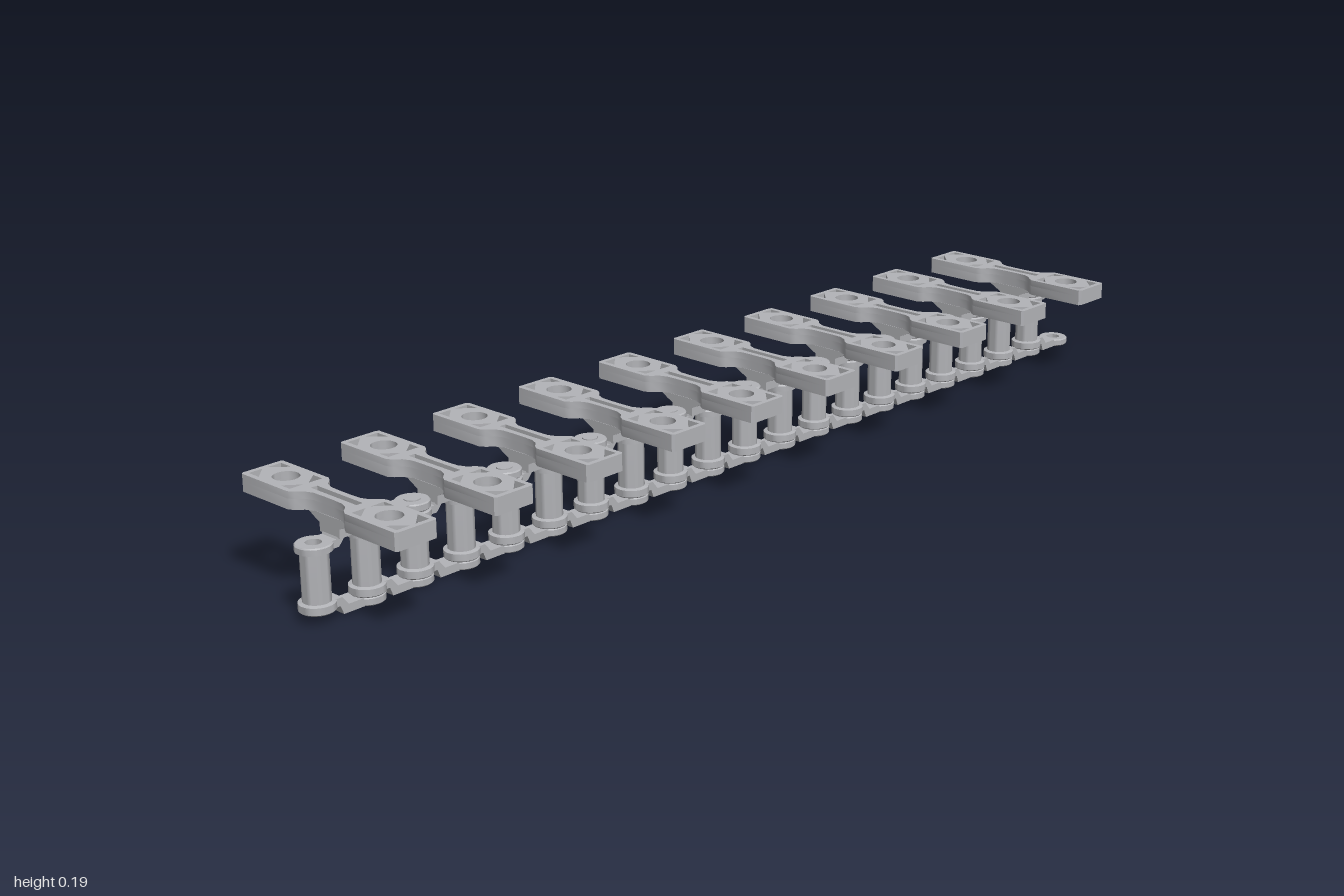
import * as THREE from 'three';
import { toCreasedNormals } from 'three/addons/utils/BufferGeometryUtils.js';

const PITCH = 0.097, LINKS = 20;
const steel = new THREE.MeshStandardMaterial({ color: 0xb3b4b8 });
steel.name = 'steel grey';

const crease = (g) => toCreasedNormals(g, 0.6);

// polygon from [x, y] pairs
function poly(points, Type = THREE.Shape) {
  return new Type(points.map(([x, y]) => new THREE.Vector2(x, y)));
}
function circle(x, y, r, Type = THREE.Path) {
  const p = new Type();
  p.absarc(x, y, r, 0, Math.PI * 2, false);
  return p;
}
// horizontal plate: plan shape lifted from y0 to y1
function plate(shape, y0, y1) {
  const g = new THREE.ExtrudeGeometry(shape, { depth: y1 - y0, bevelEnabled: false, curveSegments: 12 });
  return crease(g.rotateX(-Math.PI / 2).translate(0, y0, 0));
}
// closed ring profile turned around y
function ring(profile) {
  const pts = [...profile, profile[0]].map(([r, y]) => new THREE.Vector2(r, y));
  return crease(new THREE.LatheGeometry(pts, 24));
}

// barrel with the two inner eyes as collars
const barrelGeo = ring([[0.013, 0.017], [0.028, 0.017], [0.03, 0.019], [0.03, 0.031], [0.023, 0.033],
  [0.023, 0.114], [0.03, 0.116], [0.03, 0.126], [0.028, 0.128], [0.013, 0.128]]);
const eyeGeo = (y0, y1) => ring([[0.013, y0], [0.027, y0], [0.029, y0 + 0.002], [0.029, y1 - 0.002],
  [0.027, y1], [0.013, y1]]);
const lowerEyeGeo = eyeGeo(0.003, 0.017), upperEyeGeo = eyeGeo(0.129, 0.143);
const pinGeo = new THREE.CylinderGeometry(0.0135, 0.0135, 0.145, 20).translate(0, 0.0725, 0);

// cranked side bar: steps from the inner eye level out to the outer eye level
function sideBar(inner0, inner1, outer0, outer1) {
  const s = poly([[0.018, inner0], [0.034, inner0], [0.046, outer0], [0.08, outer0],
    [0.08, outer1], [0.036, outer1], [0.03, inner1], [0.018, inner1]]);
  return new THREE.ExtrudeGeometry(s, { depth: 0.036, bevelEnabled: false }).translate(0, 0, -0.018);
}
const upperBarGeo = sideBar(0.115, 0.128, 0.129, 0.143);
// mirrored for the underside
const lowerBarGeo = (() => {
  const s = poly([[0.018, 0.018], [0.03, 0.018], [0.036, 0.003], [0.08, 0.003],
    [0.08, 0.017], [0.046, 0.017], [0.034, 0.032], [0.018, 0.032]]);
  return new THREE.ExtrudeGeometry(s, { depth: 0.036, bevelEnabled: false }).translate(0, 0, -0.018);
})();

// waisted carrier outline, one quarter mirrored into four
function carrierShape() {
  const q = [[0.016, 0.012], [0.017, 0.035], [0.023, 0.05], [0.034, 0.06], [0.04, 0.07], [0.04, 0.184], [0.036, 0.188]];
  const rev = [...q].reverse();
  const s = poly([
    ...q,
    ...rev.map(([x, z]) => [-x, z]),
    ...q.map(([x, z]) => [-x, -z]),
    ...rev.map(([x, z]) => [x, -z]),
  ]);
  for (const side of [1, -1]) s.holes.push(circle(0, side * 0.125, 0.022));
  return s;
}
const carrierBaseGeo = plate(carrierShape(), 0.16, 0.178);

// top layer with corner pockets and a groove along the waist
const carrierTopGeo = (() => {
  const s = carrierShape();
  const corner = [[0.005, 0.179], [0.031, 0.179], [0.031, 0.153]];
  const inner = [[0.005, 0.075], [0.031, 0.075], [0.031, 0.097]];
  for (const sx of [1, -1]) for (const sz of [1, -1]) for (const tri of [corner, inner])
    s.holes.push(poly(tri.map(([x, z]) => [sx * x, sz * z]), THREE.Path));
  s.holes.push(poly([[-0.006, -0.055], [0.006, -0.055], [0.006, 0.055], [-0.006, 0.055]], THREE.Path));
  return plate(s, 0.178, 0.19);
})();

// pedestal flaring up under the carrier
const pedestalGeo = (() => {
  const s = poly([[-0.024, 0.13], [0.024, 0.13], [0.024, 0.145], [0.034, 0.15], [0.054, 0.161],
    [-0.054, 0.161], [-0.034, 0.15], [-0.024, 0.145]]);
  return new THREE.ExtrudeGeometry(s, { depth: 0.034, bevelEnabled: false })
    .translate(0, 0, -0.017).rotateY(Math.PI / 2);
})();

export function createModel() {
  const model = new THREE.Group();
  model.name = 'conveyorChain';
  const add = (parent, name, geo, x = 0) => {
    const m = new THREE.Mesh(geo, steel);
    m.name = name;
    m.position.x = x;
    parent.add(m);
  };
  for (let i = 0; i < LINKS; i++) {
    const link = new THREE.Group();
    link.name = 'link';
    link.position.x = (i - LINKS / 2) * PITCH;
    add(link, 'barrel', barrelGeo);
    add(link, 'upperSideBar', upperBarGeo);
    add(link, 'lowerSideBar', lowerBarGeo);
    add(link, 'upperEye', upperEyeGeo, PITCH);
    add(link, 'lowerEye', lowerEyeGeo, PITCH);
    if (i > 0) add(link, 'pin', pinGeo);
    // every other link holds a carrier
    if (i % 2 === 0) {
      const carrier = new THREE.Group();
      carrier.name = 'carrier';
      carrier.position.x = PITCH / 2;
      add(carrier, 'pedestal', pedestalGeo);
      add(carrier, 'carrierBase', carrierBaseGeo);
      add(carrier, 'carrierTop', carrierTopGeo);
      link.add(carrier);
    }
    model.add(link);
  }
  return model;
}
